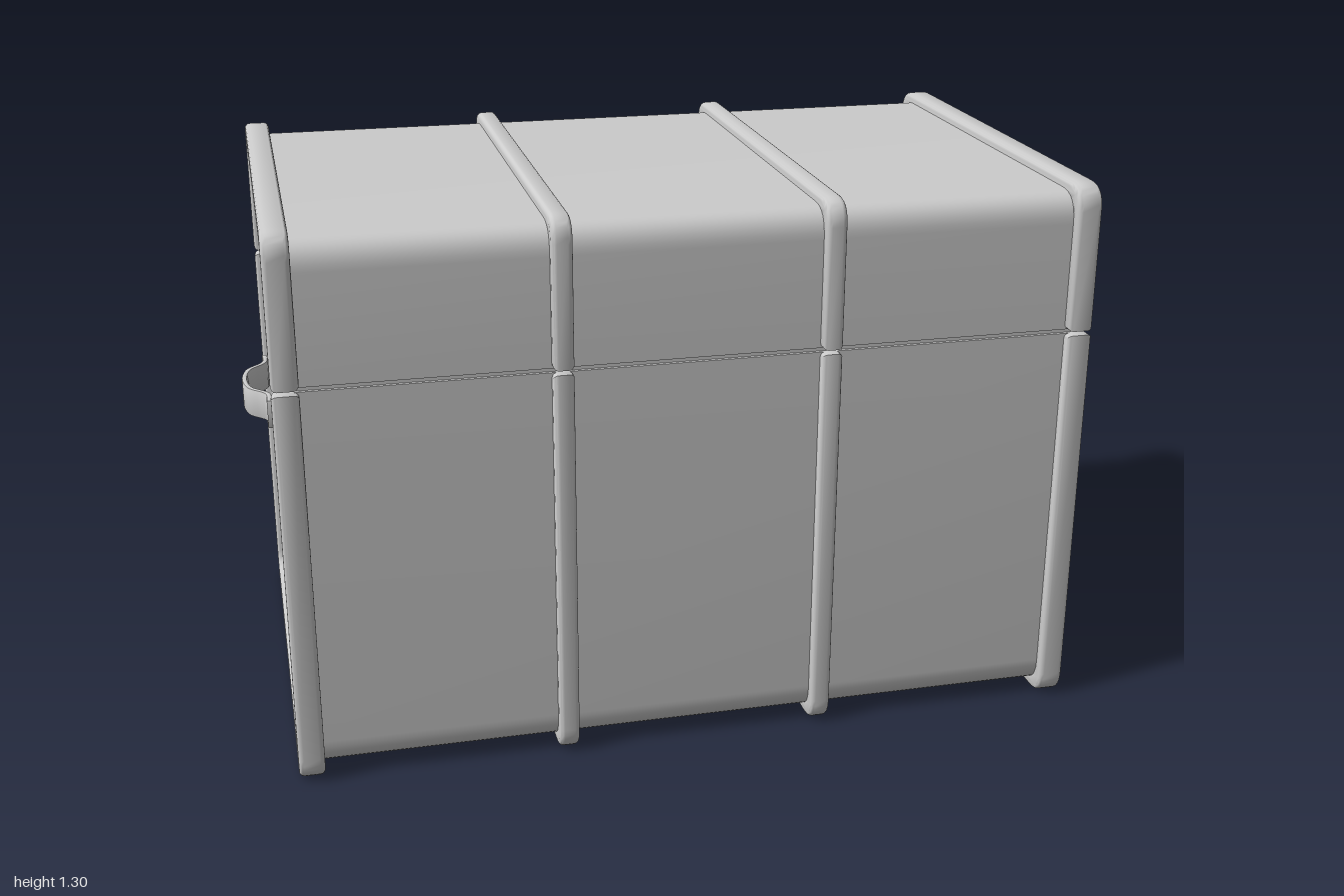
import * as THREE from 'three';
import { toCreasedNormals } from 'three/addons/utils/BufferGeometryUtils.js';

const material = new THREE.MeshStandardMaterial({ color: 0xcccccc, side: THREE.DoubleSide });
const SEAM = 0.951, GAP = 0.005, SHIFT = -0.006;

function addMesh(parent, geometry, name) {
  const mesh = new THREE.Mesh(toCreasedNormals(geometry, 0.7), material);
  mesh.name = name;
  parent.add(mesh);
  return mesh;
}

// Open U outline from the seam (edge) round the far side (end) and back
function traceU(edge, end, half, r) {
  const s = Math.sign(end - edge);
  return new THREE.Path().moveTo(-half, edge)
    .lineTo(-half, end - s * r).quadraticCurveTo(-half, end, -half + r, end)
    .lineTo(half - r, end).quadraticCurveTo(half, end, half, end - s * r)
    .lineTo(half, edge).getPoints(8);
}

// Extrude a z/y outline along x between x0 and x1, with rounded edges
function extrudeX(points, x0, x1, bevel) {
  const geometry = new THREE.ExtrudeGeometry(new THREE.Shape(points), {
    depth: x1 - x0 - 2 * bevel, bevelEnabled: bevel > 0, bevelThickness: bevel,
    bevelSize: bevel, bevelOffset: -bevel, bevelSegments: 4, steps: 1,
  });
  geometry.translate(0, 0, x0 + bevel);
  geometry.rotateY(Math.PI / 2);
  return geometry;
}

// Curved strap: a ribbon in plan, given height, with flat tabs at both ends
function handleGeometry() {
  const half = [[0.168, 0.941], [0.122, 0.941], [0.105, 0.948], [0.07, 0.98], [0.04, 0.99]];
  const plan = [...half.map(([z, x]) => [-z, x]), [0, 0.994], ...half.slice().reverse()];
  const curve = new THREE.CatmullRomCurve3(
    plan.map(([z, x]) => new THREE.Vector3(z, x, 0)), false, 'centripetal');
  const outer = [], inner = [];
  for (let i = 0; i <= 40; i++) {
    const p = curve.getPoint(i / 40), t = curve.getTangent(i / 40);
    outer.push(new THREE.Vector2(p.x - t.y * 0.006, p.y + t.x * 0.006));
    inner.unshift(new THREE.Vector2(p.x + t.y * 0.006, p.y - t.x * 0.006));
  }
  const geometry = new THREE.ExtrudeGeometry(new THREE.Shape([...outer, ...inner]), {
    depth: 0.064, bevelEnabled: true, bevelSize: 0.003, bevelThickness: 0.003,
    bevelOffset: -0.003, bevelSegments: 2,
  });
  // plan (z, x) plus height to x, y, z
  geometry.applyMatrix4(new THREE.Matrix4().set(
    0, 1, 0, 0, 0, 0, 1, 0.72, 1, 0, 0, -0.009, 0, 0, 0, 1));
  return geometry;
}

export function createModel() {
  const chest = new THREE.Group();
  chest.name = 'chest';
  const trunk = new THREE.Group();
  trunk.name = 'trunk';
  trunk.position.x = SHIFT;
  chest.add(trunk);

  // x ranges of the raised bands
  const bands = [[-0.936, -0.876], [-0.331, -0.283], [0.283, 0.331], [0.876, 0.936]];
  const halves = [
    { name: 'base', edge: SEAM - GAP, bottom: 0.022, outer: 0 },
    { name: 'lid', edge: SEAM + GAP, bottom: 1.278, outer: 1.3 },
  ];
  for (const { name, edge, bottom, outer } of halves) {
    // Shell of the base or lid
    addMesh(trunk, extrudeX(traceU(edge, bottom, 0.552, 0.07), -0.92, 0.92, 0), name);
    const s = Math.sign(outer - edge);
    bands.forEach(([x0, x1], i) => {
      // U-shaped rounded strip around the shell
      const ring = [...traceU(edge, outer, 0.575, 0.06),
        ...traceU(edge, outer - s * 0.038, 0.537, 0.04).reverse()];
      const kind = i % 3 === 0 ? 'Rim' : 'Band';
      addMesh(trunk, extrudeX(ring, x0, x1, 0.012), name + kind);
    });
  }

  // Recessed core seen in the seam between base and lid
  const core = addMesh(trunk, new THREE.BoxGeometry(1.824, 0.06, 1.088), 'seamCore');
  core.position.y = SEAM;

  // Strap handles with mounting plates on both ends
  for (const side of [1, -1]) {
    const handle = new THREE.Group();
    handle.name = side > 0 ? 'leftHandle' : 'rightHandle';
    addMesh(handle, handleGeometry(), 'strap');
    for (const z of [-0.154, 0.136]) {
      const plate = addMesh(handle, new THREE.BoxGeometry(0.036, 0.066, 0.042), 'mountingPlate');
      plate.position.set(0.926, 0.752, z);
    }
    if (side < 0) {
      // Mirror while keeping z, then turn faces outward again
      for (const mesh of handle.children) {
        mesh.geometry.scale(-1, 1, 1);
        mesh.position.x *= -1;
        const p = mesh.geometry.attributes;
        for (const a of [p.position, p.normal]) {
          for (let i = 0; i < a.count; i += 3) {
            const v = [a.getX(i), a.getY(i), a.getZ(i)];
            a.setXYZ(i, a.getX(i + 1), a.getY(i + 1), a.getZ(i + 1));
            a.setXYZ(i + 1, ...v);
          }
        }
      }
    }
    chest.add(handle);
  }
  return chest;
}
